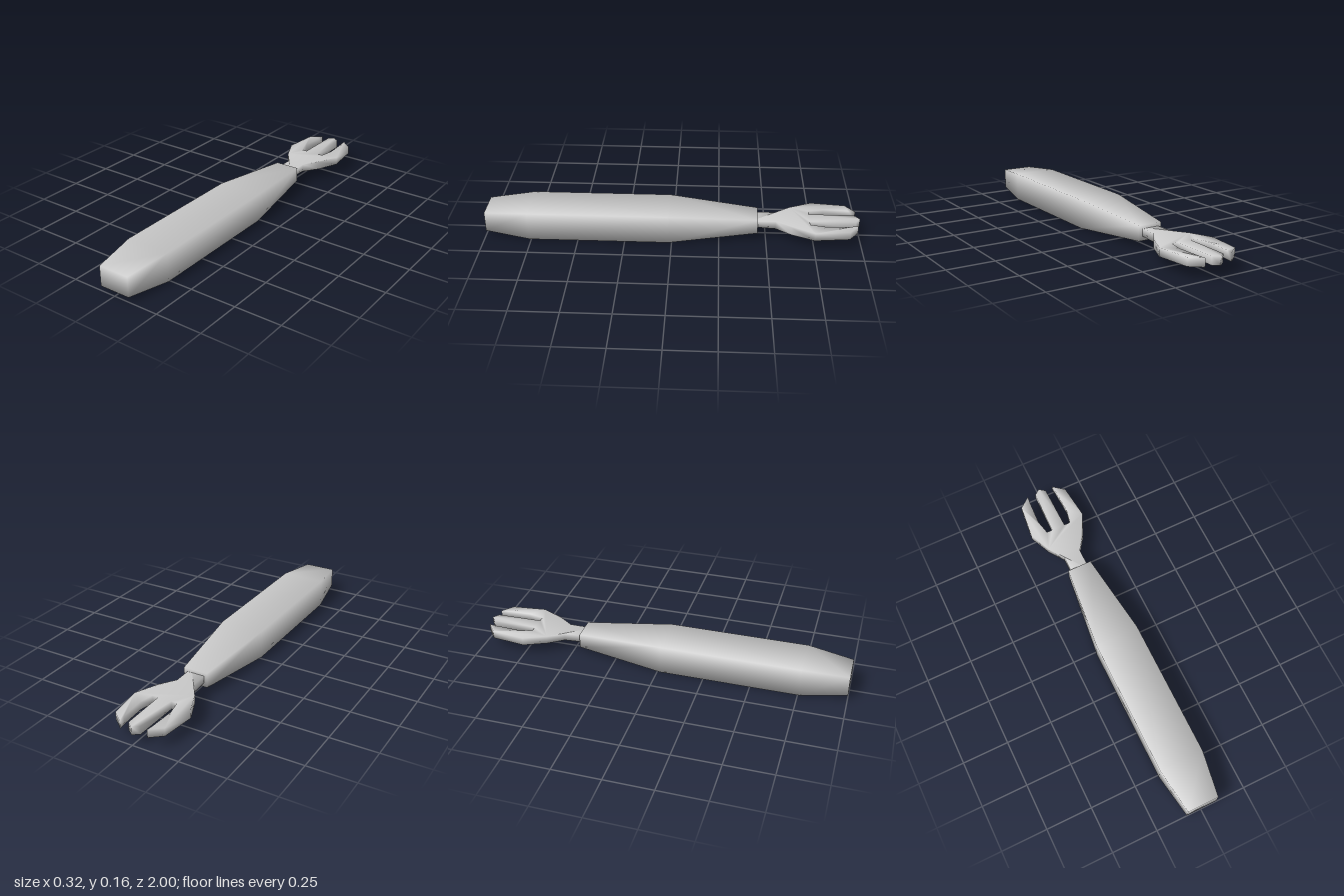
import * as THREE from 'three';
import { mergeVertices } from 'three/addons/utils/BufferGeometryUtils.js';

const material = new THREE.MeshStandardMaterial({ color: 0xcccccc });

// Weld shared corners so shading runs smoothly over every edge.
function smoothMesh(geometry, name) {
  geometry.deleteAttribute('normal');
  geometry.deleteAttribute('uv');
  const welded = mergeVertices(geometry, 1e-4);
  welded.computeVertexNormals();
  const mesh = new THREE.Mesh(welded, material);
  mesh.name = name;
  return mesh;
}

// Handle: rectangular sections [z, half width, bottom, top] from back to front.
function createHandle() {
  const sections = [
    [-0.455, 0.067, 0.039, 0.119],
    [0.015, 0.12, 0, 0.156],
    [0.76, 0.12, 0, 0.156],
    [1, 0.085, 0.025, 0.134],
  ];
  const geometry = new THREE.BoxGeometry(1, 1, 3, 1, 1, 3);
  const p = geometry.attributes.position;
  for (let i = 0; i < p.count; i++) {
    const [z, half, bottom, top] = sections[Math.round(p.getZ(i) + 1.5)];
    p.setXYZ(i, 0.002 + Math.sign(p.getX(i)) * half, p.getY(i) > 0 ? top : bottom, z);
  }
  return smoothMesh(geometry, 'handle');
}

// Fork head: one half of the outline as [x, distance back], mirrored and extruded.
function createForkHead() {
  const half = [
    [0.048, 0.42], [0.048, 0.55], [0.105, 0.63], [0.158, 0.75], [0.137, 0.933],
    [0.075, 0.983], [0.08, 0.945], [0.087, 0.81], [0.07, 0.73],
    [0.037, 0.73], [0.033, 0.975],
  ];
  const mirrored = half.map(([x, d]) => [-x, d]).reverse();
  const outline = [...half, [0, 1], ...mirrored].map(([x, d]) => new THREE.Vector2(x, d));
  const geometry = new THREE.ExtrudeGeometry(new THREE.Shape(outline), {
    depth: 0.044, bevelEnabled: false,
  });
  geometry.rotateX(-Math.PI / 2).translate(0, 0.057, 0);
  // The neck is slightly thinner on its underside.
  const p = geometry.attributes.position;
  for (let i = 0; i < p.count; i++) {
    if (p.getY(i) < 0.07 && p.getZ(i) > -0.5) p.setY(i, 0.065);
  }
  return smoothMesh(geometry, 'forkHead');
}

export function createModel() {
  const group = new THREE.Group();
  group.name = 'handFork';
  group.add(createHandle(), createForkHead());
  return group;
}
